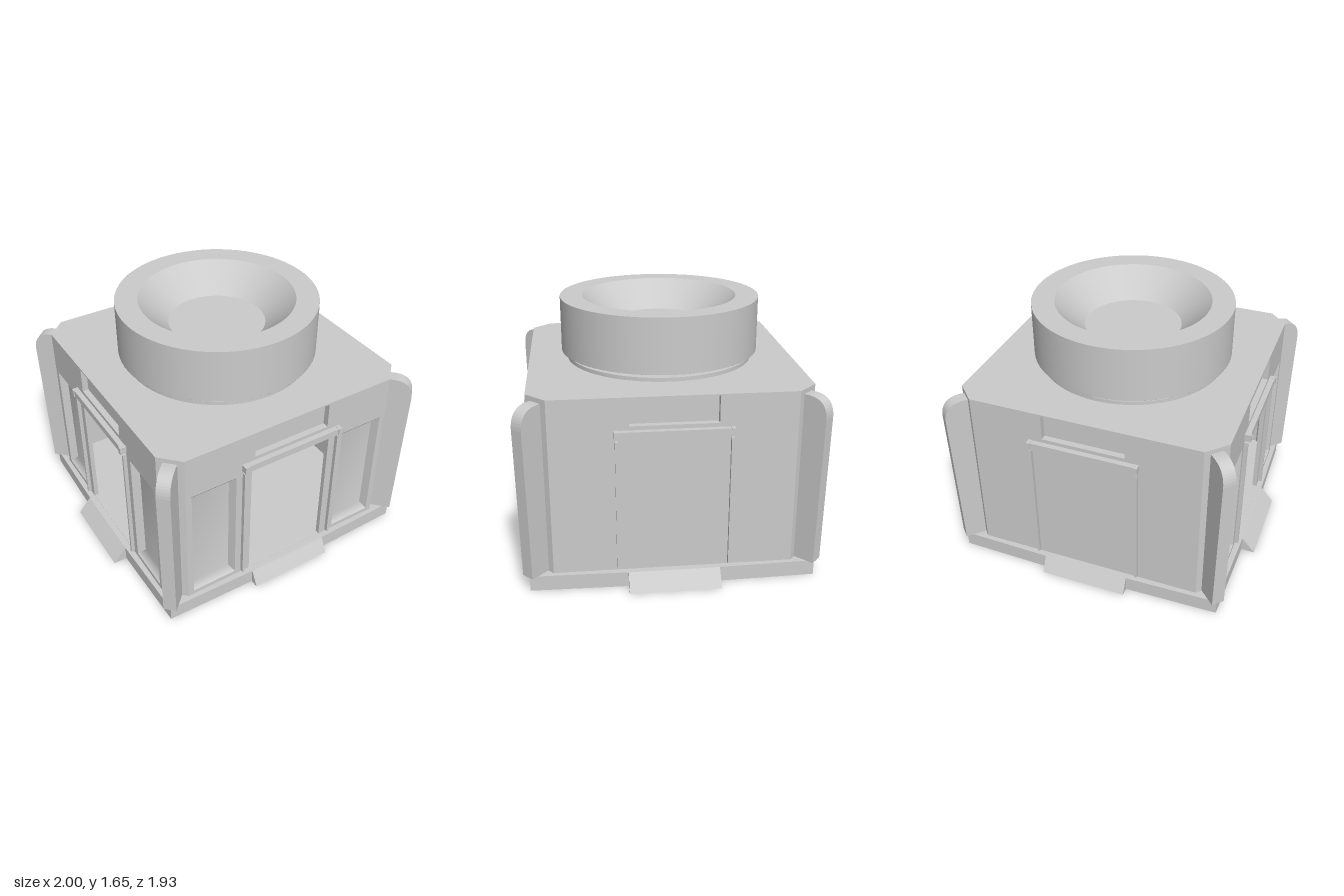
import * as THREE from 'three';

const grey = new THREE.MeshStandardMaterial({ color: 0xcccccc });
const thin = new THREE.MeshStandardMaterial({ color: 0xcccccc, side: THREE.DoubleSide });

const WALL = 0.87, HALF = 0.75, THICK = 0.03, FLOOR = 0.1, TOP = 1.24;

function add(parent, name, geometry, material = grey) {
  const mesh = new THREE.Mesh(geometry, material);
  mesh.name = name;
  parent.add(mesh);
  return mesh;
}

// Box given by its limits
function block(parent, name, x0, x1, y0, y1, z0, z1) {
  const m = add(parent, name, new THREE.BoxGeometry(x1 - x0, y1 - y0, z1 - z0));
  m.position.set((x0 + x1) / 2, (y0 + y1) / 2, (z0 + z1) / 2);
  return m;
}

const polygon = pts => new THREE.Shape(pts.map(p => new THREE.Vector2(...p)));
const rect = (x0, x1, y0, y1) => [[x0, y0], [x1, y0], [x1, y1], [x0, y1]];
const extrude = (shape, depth) => new THREE.ExtrudeGeometry(shape, { depth, bevelEnabled: false, curveSegments: 10 });

// Horizontal slab from a plan outline
function slab(parent, name, pts, y0, y1) {
  const m = add(parent, name, extrude(polygon(pts), y1 - y0));
  m.rotation.x = -Math.PI / 2;
  m.position.y = y0;
  return m;
}

// Quad strip through pairs of left and right points
function strip(rows, smooth) {
  const g = new THREE.BufferGeometry();
  const index = [];
  for (let i = 0; i < rows.length - 1; i++) {
    const a = i * 2;
    index.push(a, a + 1, a + 3, a, a + 3, a + 2);
  }
  g.setAttribute('position', new THREE.Float32BufferAttribute(rows.flat(2), 3));
  g.setIndex(index);
  const out = smooth ? g : g.toNonIndexed();
  out.computeVertexNormals();
  return out;
}

// Pocket sunk into a wall, with sloping sides
function recess(parent, name, [x0, x1, y0, y1], dx, low, high, depth, smooth) {
  const z = WALL, d = WALL - depth, a = x0 + dx, b = x1 - dx, c = y0 + low, e = y1 - high;
  const pocket = new THREE.Group();
  pocket.name = name;
  parent.add(pocket);
  add(pocket, 'pocketBack', strip([
    [[x0, y0, z], [x1, y0, z]], [[a, c, d], [b, c, d]],
    [[a, e, d], [b, e, d]], [[x0, y1, z], [x1, y1, z]],
  ], smooth), thin);
  add(pocket, 'pocketLeftSide', strip([[[x0, y0, z], [a, c, d]], [[x0, y1, z], [a, e, d]]]), thin);
  add(pocket, 'pocketRightSide', strip([[[b, c, d], [x1, y0, z]], [[b, e, d], [x1, y1, z]]]), thin);
}

// One wall facing +z, with its frame, sign pocket and ramp
function makeSide(open, reach) {
  const side = new THREE.Group();
  const holes = [];
  const sign = [-0.27, 0.27, 1.06, 1.23];
  holes.push(sign);
  if (open) {
    holes.push([-0.29, 0.29, FLOOR + 0.002, 0.98]);
    for (const s of [[-0.71, -0.4, 0.13, 0.95], [0.4, 0.71, 0.13, 0.95]]) {
      holes.push(s);
      recess(side, 'scoopedPanel', s, 0.022, 0.03, 0.06, 0.05, true);
    }
  }
  recess(side, 'signPocket', sign, 0, 0, 0, 0.04, false);
  const shape = polygon(rect(-HALF, HALF, FLOOR, TOP));
  shape.holes = holes.map(h => new THREE.Path(rect(...h).map(p => new THREE.Vector2(...p))));
  add(side, 'wall', extrude(shape, THICK)).position.z = WALL - THICK;

  // Door frame
  for (const s of [-1, 1]) {
    const x = s * 0.348;
    block(side, 'doorJamb', x - 0.008, x + 0.008, 0.115, 0.97, WALL - 0.01, 0.895);
    block(side, 'lintelEnd', x - 0.013, x + 0.013, 0.988, 1.037, WALL - 0.01, 0.912);
  }
  block(side, 'lintel', -0.345, 0.345, 0.99, 1.035, WALL - 0.01, 0.905);

  // Entry ramp: wedge profile swept across the doorway
  const ramp = add(side, 'ramp', extrude(polygon([[-0.9, 0], [-0.905, FLOOR], [-0.912, FLOOR], [-reach, 0]]), 0.575));
  ramp.rotation.y = Math.PI / 2;
  ramp.position.x = -0.2875;
  return side;
}

export function createModel() {
  const model = new THREE.Group();
  model.name = 'booth';

  // Base plate, bulging slightly at the doorways
  const base = [];
  const turn = ([x, y], k) => [[x, y], [-y, x], [-x, -y], [y, -x]][k];
  for (let k = 0; k < 4; k++) {
    for (const p of [[0.91, -0.29], [0.91, 0.29], [0.897, 0.897]]) base.push(turn(p, k));
  }
  slab(model, 'basePlate', base, 0, FLOOR);

  // Four walls: front and right-hand ones have open doorways
  const sides = [['frontSide', true, 0.965], ['leftSide', false, 1], ['backSide', false, 0.965], ['rightSide', true, 1]];
  sides.forEach(([name, open, reach], i) => {
    const side = makeSide(open, reach);
    side.name = name;
    side.rotation.y = i * Math.PI / 2;
    model.add(side);
  });

  // Chamfered corners, each with an upright rounded fin
  const r = (WALL + HALF) / Math.SQRT2, w = (WALL - HALF) / Math.SQRT2;
  const fin = new THREE.Shape();
  fin.moveTo(r - 0.02, 0.105);
  fin.lineTo(1.283, 0.105);
  fin.lineTo(1.3, 1.08);
  fin.quadraticCurveTo(1.298, 1.205, 1.18, 1.21);
  fin.lineTo(r - 0.02, 1.21);
  const finGeometry = extrude(fin, 0.085);
  for (let i = 0; i < 4; i++) {
    const corner = new THREE.Group();
    corner.name = 'corner';
    corner.rotation.y = Math.PI / 4 + i * Math.PI / 2;
    block(corner, 'cornerPanel', -w, w, FLOOR, TOP, r - THICK, r);
    const f = add(corner, 'cornerFin', finGeometry);
    f.rotation.y = -Math.PI / 2;
    f.position.x = 0.0425;
    model.add(corner);
  }

  // Roof, fitted between the walls
  const a = WALL - THICK, b = (r - THICK) * Math.SQRT2 - a;
  const roof = [];
  for (let k = 0; k < 4; k++) roof.push(turn([a, -b], k), turn([a, b], k));
  slab(model, 'roof', roof, TOP - 0.01, TOP);

  // Stepped discs below the drum
  for (const [radius, y0, y1] of [[0.615, TOP, 1.265], [0.53, 1.265, 1.297]]) {
    const disc = add(model, 'roofDisc', new THREE.CylinderGeometry(radius, radius, y1 - y0, 64));
    disc.position.y = (y0 + y1) / 2;
  }

  // Drum with a conical bowl; points are doubled to keep its edges sharp
  const rim = [[0, 1.295], [0.653, 1.295], [0.653, 1.65], [0.505, 1.65], [0.315, 1.47], [0, 1.47]];
  const profile = [];
  for (let i = 0; i < rim.length - 1; i++) {
    const p = new THREE.Vector2(...rim[i]), q = new THREE.Vector2(...rim[i + 1]);
    profile.push(p, p.clone().lerp(q, 0.001), p.clone().lerp(q, 0.999));
  }
  profile.push(new THREE.Vector2(0, 1.47));
  add(model, 'drum', new THREE.LatheGeometry(profile, 64));

  return model;
}
